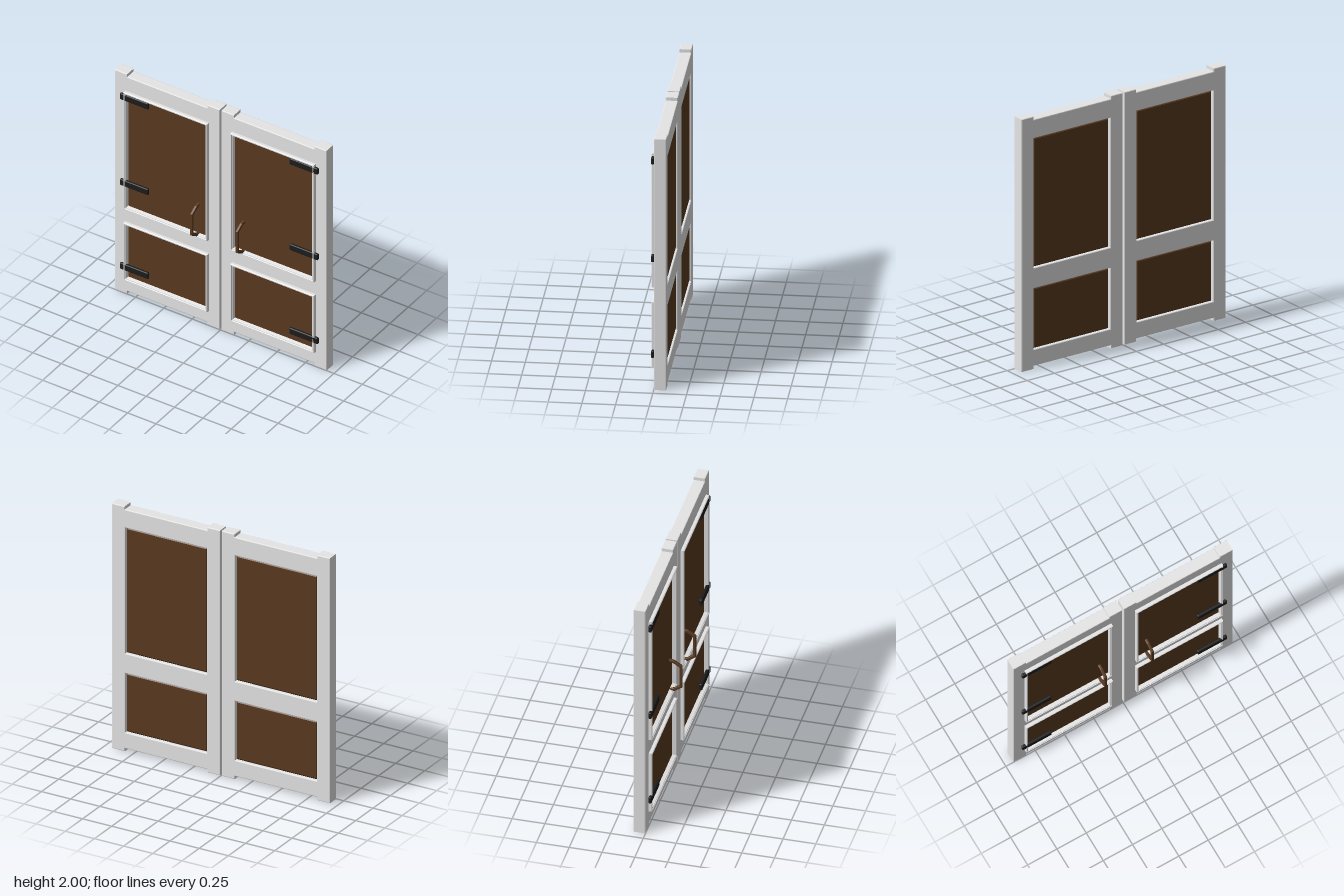
import * as THREE from 'three';
import { RoundedBoxGeometry } from 'three/addons/geometries/RoundedBoxGeometry.js';

const mat = (name, color) => {
  const m = new THREE.MeshStandardMaterial({ color });
  m.name = name;
  return m;
};

const polygon = (Type, pts) => new Type(pts.map(([x, y]) => new THREE.Vector2(x, y)));

// Rectangle corners, counter-clockwise
const rect = (hw, y0, y1) => [[-hw, y0], [hw, y0], [hw, y1], [-hw, y1]];

// Door frame: stiles longer than the rails, two openings, eased edges
function frameGeometry(openings) {
  const o = 0.464, i = 0.353, n = 0.025;
  const shape = polygon(THREE.Shape, [
    [-o, 0], [-i, 0], [-i, n], [i, n], [i, 0], [o, 0],
    [o, 2], [i, 2], [i, 2 - n], [-i, 2 - n], [-i, 2], [-o, 2]
  ]);
  for (const [y0, y1] of openings) {
    shape.holes.push(polygon(THREE.Path, rect(0.35, y0, y1).reverse()));
  }
  const b = 0.006, depth = 0.092;
  const g = new THREE.ExtrudeGeometry(shape, {
    depth: depth - 2 * b, bevelThickness: b, bevelSize: b, bevelOffset: -b, bevelSegments: 2
  });
  return g.translate(0, 0, b - depth);
}

// Moulding: a stepped profile [inset, z] mitred around a rectangle
function trimGeometry(hw, y0, y1) {
  const profile = [[0, -0.005], [0, 0.022], [0.004, 0.028], [0.01, 0.028],
    [0.013, 0.022], [0.018, 0.022], [0.024, -0.012]];
  const point = (k, [d, z]) => {
    const [x, y] = rect(hw - d, y0 + d, y1 - d)[k % 4];
    return [x, y, z];
  };
  const pos = [];
  for (let k = 0; k < 4; k++) {
    for (let j = 0; j < profile.length - 1; j++) {
      const a = point(k, profile[j]), b = point(k + 1, profile[j]);
      const c = point(k + 1, profile[j + 1]), d = point(k, profile[j + 1]);
      pos.push(...a, ...b, ...c, ...a, ...c, ...d);
    }
  }
  const g = new THREE.BufferGeometry();
  g.setAttribute('position', new THREE.Float32BufferAttribute(pos, 3));
  g.computeVertexNormals();
  return g;
}

// Raised panel: a slab whose back edges are chamfered
function panelGeometry(hw, y0, y1) {
  const c = 0.016, depth = 0.071;
  const g = new THREE.ExtrudeGeometry(polygon(THREE.Shape, rect(hw, y0, y1)), {
    depth: depth - 2 * c, bevelThickness: c, bevelSize: c, bevelOffset: -c, bevelSegments: 1
  });
  // Square up the front edges so that only the back is chamfered
  const p = g.attributes.position, mid = (y0 + y1) / 2, hh = (y1 - y0) / 2;
  for (let i = 0; i < p.count; i++) {
    if (p.getZ(i) > depth - c - 0.001 - c) {
      p.setX(i, Math.sign(p.getX(i)) * hw);
      p.setY(i, mid + Math.sign(p.getY(i) - mid) * hh);
    }
  }
  g.computeVertexNormals();
  return g.translate(0, 0, c - 0.078);
}

// Pull handle: bent bar drawn in side view (z, y) and given a width along x
function handleGeometry() {
  const shape = polygon(THREE.Shape, [
    [-0.01, 0.777], [0.03, 0.793], [0.092, 0.836], [0.092, 1.027], [0.03, 1.066], [-0.01, 1.074],
    [-0.01, 1.05], [0.024, 1.043], [0.071, 1.013], [0.071, 0.85], [0.024, 0.818], [-0.01, 0.805]
  ]);
  const b = 0.006, width = 0.023;
  const g = new THREE.ExtrudeGeometry(shape, {
    depth: width - 2 * b, bevelThickness: b, bevelSize: b, bevelOffset: -b, bevelSegments: 3
  });
  return g.translate(0, 0, b - width / 2).rotateY(-Math.PI / 2);
}

export function createModel() {
  const model = new THREE.Group();
  model.name = 'doubleDoor';
  const paint = mat('light grey paint', 0xe6e6e6);
  const wood = mat('brown wood', 0x5a3a20);
  const iron = mat('black iron', 0x1c1c1c);

  const add = (parent, name, geometry, material, x = 0, y = 0, z = 0) => {
    const mesh = new THREE.Mesh(geometry, material);
    mesh.name = name;
    mesh.position.set(x, y, z);
    parent.add(mesh);
  };

  const openings = [[0.155, 0.638], [0.8, 1.826]];
  const frame = frameGeometry(openings);
  const handle = handleGeometry();
  const hinge = new RoundedBoxGeometry(0.25, 0.055, 0.024, 2, 0.008);

  for (const s of [-1, 1]) {
    const door = new THREE.Group();
    door.name = s > 0 ? 'leftDoor' : 'rightDoor';
    door.position.x = s * 0.471;
    model.add(door);

    add(door, 'frame', frame, paint);
    // Panels filling the openings, each with a raised moulding on the front
    for (const [y0, y1] of openings) {
      add(door, 'panel', panelGeometry(0.352, y0 - 0.002, y1 + 0.002), wood);
      add(door, 'panelTrim', trimGeometry(0.37, y0 - 0.02, y1 + 0.02), paint);
    }
    // Hinges on the outer edge, handle near the meeting edge
    for (const y of [0.255, 1.018, 1.798]) {
      add(door, 'hinge', hinge, iron, s * 0.277, y, 0.016);
    }
    add(door, 'handle', handle, wood, -s * 0.271, 0, 0);
  }
  return model;
}
